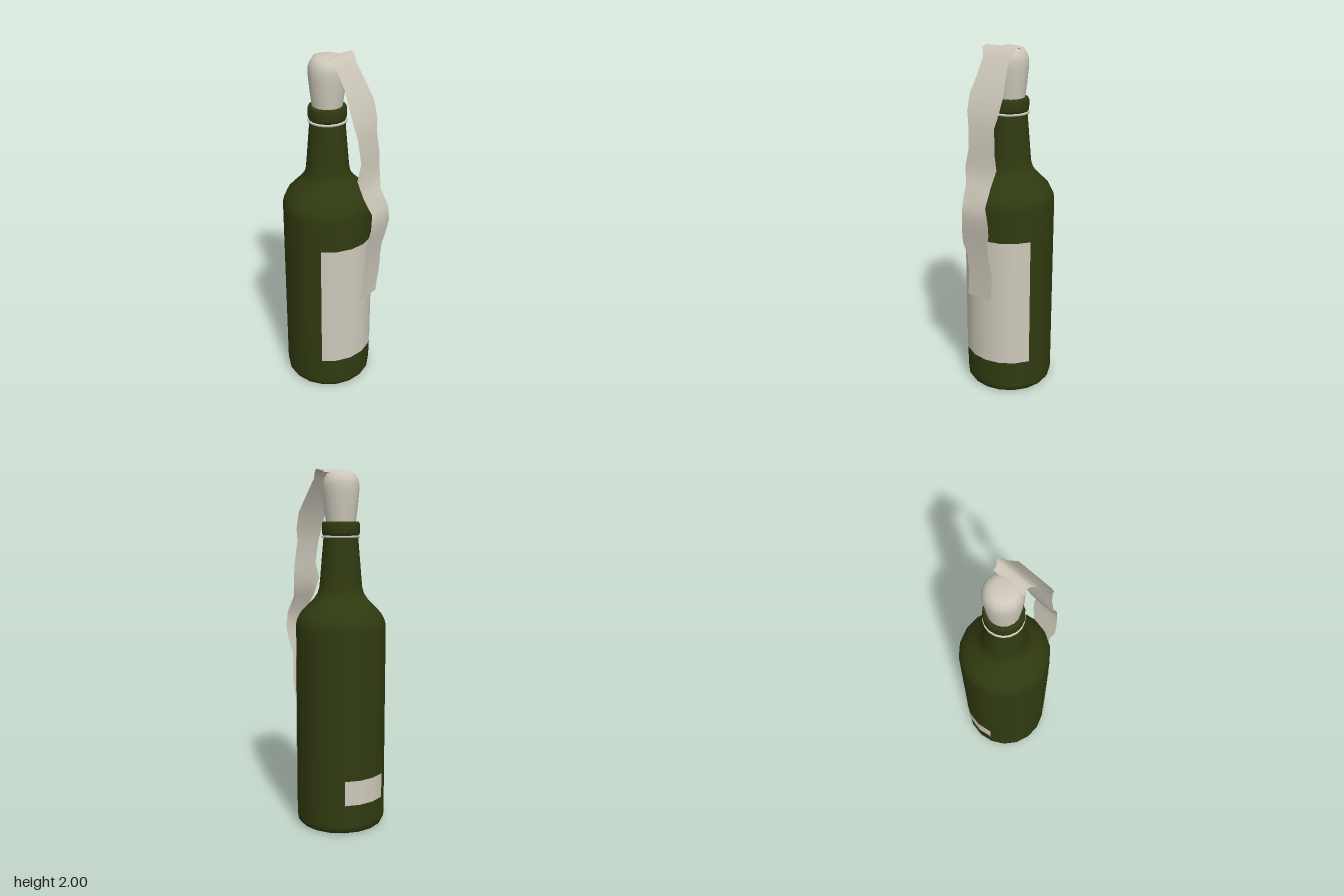
import * as THREE from 'three';

const SIDES = 18;
const AXIS_X = -0.055;
const RADIUS = 0.253;
const rad = THREE.MathUtils.degToRad;

function material(name, color, side = THREE.FrontSide) {
  const m = new THREE.MeshStandardMaterial({ color, side });
  m.name = name;
  return m;
}

// Turned part around the bottle axis; profile is [radius, y] from bottom to top
function turned(name, profile, mat, startDeg = 90, arcDeg = 360) {
  const points = profile.map(([r, y]) => new THREE.Vector2(r, y));
  const segments = Math.round((SIDES * arcDeg) / 360);
  const geo = new THREE.LatheGeometry(points, segments, rad(startDeg), rad(arcDeg));
  const mesh = new THREE.Mesh(geo, mat);
  mesh.name = name;
  mesh.position.x = AXIS_X;
  return mesh;
}

// Cloth strip from rows of [x, y, frontEdgeZ, backEdgeZ]
function clothStrip(name, rows, mat) {
  const across = 4;
  const positions = [];
  const index = [];
  rows.forEach(([x, y, zFront, zBack], i) => {
    for (let j = 0; j <= across; j++) {
      positions.push(x, y, THREE.MathUtils.lerp(zFront, zBack, j / across));
      if (i < rows.length - 1 && j < across) {
        const a = i * (across + 1) + j;
        const b = a + across + 1;
        index.push(a, b, a + 1, b, b + 1, a + 1);
      }
    }
  });
  const geo = new THREE.BufferGeometry();
  geo.setAttribute('position', new THREE.Float32BufferAttribute(positions, 3));
  geo.setIndex(index);
  geo.computeVertexNormals();
  const mesh = new THREE.Mesh(geo, mat);
  mesh.name = name;
  return mesh;
}

export function createModel() {
  const group = new THREE.Group();
  group.name = 'bottleWithRag';

  const glass = material('dark green glass', 0x303a10);
  const cream = material('cream cloth and paper', 0xcdc8ba, THREE.DoubleSide);

  // Bottle: base, body, shoulder, neck
  group.add(turned('bottle', [
    [0, 0.004], [0.225, 0], [0.238, 0.004], [0.25, 0.022], [RADIUS, 0.045],
    [RADIUS, 1.12], [RADIUS, 1.15], [0.246, 1.18], [0.228, 1.215], [0.195, 1.25],
    [0.15, 1.295], [0.13, 1.325], [0.12, 1.36], [0.116, 1.4], [0.095, 1.65],
  ], glass));

  // Lip around the mouth
  group.add(turned('lip', [
    [0.09, 1.645], [0.1, 1.645], [0.105, 1.66], [0.105, 1.705], [0.1, 1.718],
    [0.09, 1.72], [0, 1.715],
  ], glass));

  // Thin band under the lip
  group.add(turned('neckBand', [
    [0.092, 1.632], [0.107, 1.633], [0.107, 1.643], [0.092, 1.644],
  ], cream));

  // Rag plug stuffed in the mouth
  group.add(turned('plug', [
    [0.08, 1.69], [0.083, 1.72], [0.092, 1.79], [0.1, 1.87], [0.102, 1.92],
    [0.093, 1.95], [0.075, 1.978], [0.045, 1.988], [0, 1.99],
  ], cream));

  // Paper labels: a large one on +x, a small one on -x
  const paper = RADIUS + 0.003;
  group.add(turned('largeLabel', [[paper, 0.2], [paper, 0.96]], cream, 30, 120));
  group.add(turned('smallLabel', [[paper, 0.17], [paper, 0.31]], cream, 230, 60));

  // Hanging rag tail
  group.add(clothStrip('ragTail', [
    [-0.022, 1.982, 0.097, -0.09],
    [0.0, 1.992, 0.085, -0.09],
    [0.022, 2.0, 0.095, -0.112],
    [0.045, 1.988, 0.11, -0.1],
    [0.073, 1.95, 0.083, -0.082],
    [0.125, 1.86, 0.085, -0.092],
    [0.17, 1.77, 0.102, -0.107],
    [0.2, 1.68, 0.1, -0.098],
    [0.213, 1.61, 0.085, -0.08],
    [0.228, 1.48, 0.075, -0.09],
    [0.224, 1.39, 0.1, -0.1],
    [0.25, 1.29, 0.08, -0.078],
    [0.301, 1.2, 0.068, -0.08],
    [0.301, 1.11, 0.075, -0.095],
    [0.288, 1.04, 0.085, -0.09],
    [0.275, 0.96, 0.09, -0.07],
    [0.265, 0.89, 0.07, -0.073],
    [0.251, 0.78, 0.068, -0.086],
    [0.241, 0.63, 0.085, -0.07],
  ], cream));

  return group;
}
